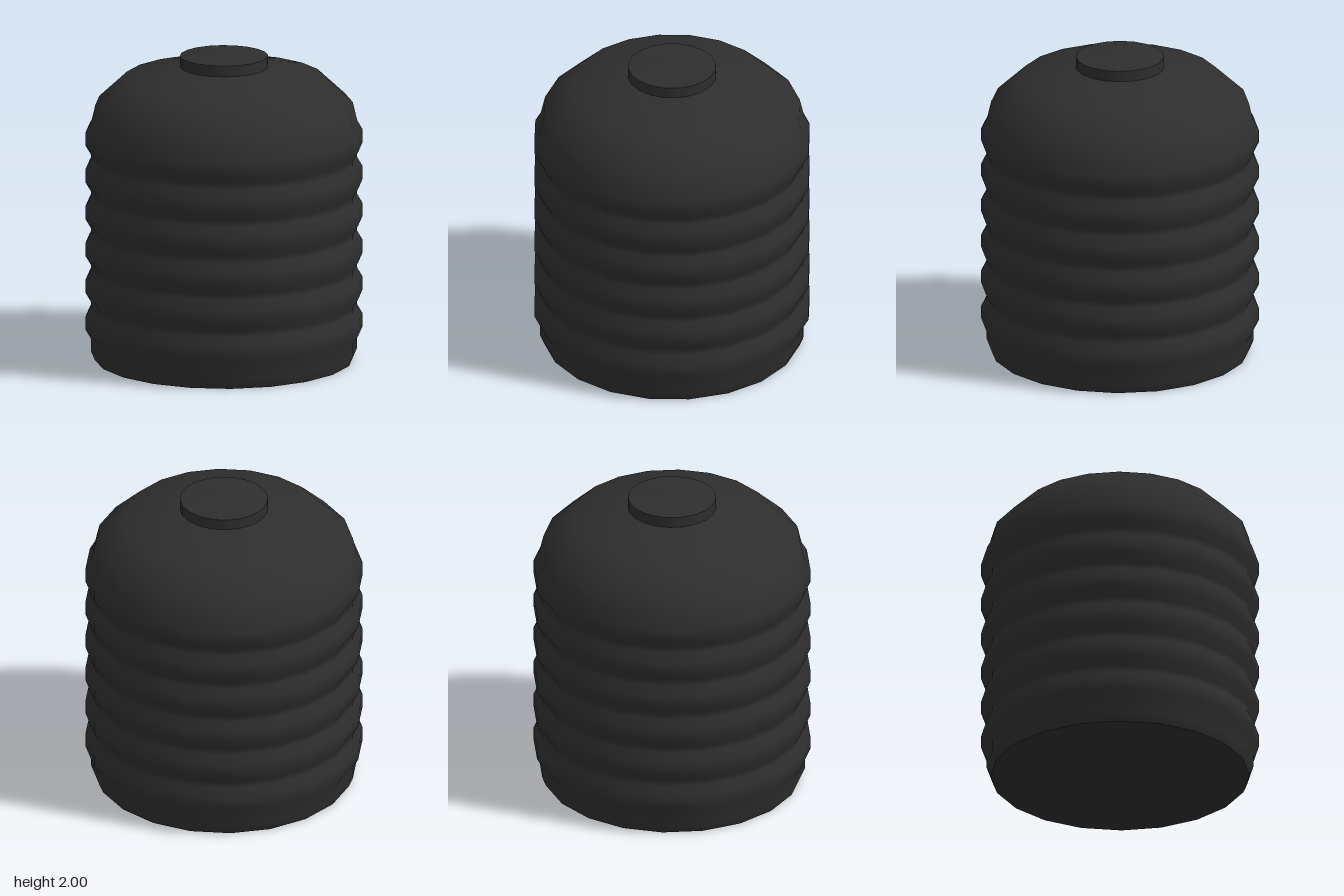
import * as THREE from 'three';

const SIDES = 20;

export function createModel() {
  const group = new THREE.Group();
  group.name = 'waterTank';

  const blackPlastic = new THREE.MeshStandardMaterial({ color: 0x2e2e2e });
  blackPlastic.name = 'blackPlastic';

  const add = (name, geometry) => {
    const mesh = new THREE.Mesh(geometry, blackPlastic);
    mesh.name = name;
    group.add(mesh);
    return mesh;
  };
  const lathe = (points) =>
    new THREE.LatheGeometry(points.map(([r, y]) => new THREE.Vector2(r, y)), SIDES);

  // Ribbed body: foot, six evenly spaced ribs, then the shoulder
  const valley = 0.845, crest = 0.88;
  const profile = [[0.82, 0], [valley, 0.06]];
  for (let i = 0; i < 6; i++) {
    const y = 0.24 * (i + 1);
    profile.push([valley, y - 0.1], [crest, y - 0.04], [crest, y + 0.04], [valley, y + 0.1]);
  }
  profile.push([0.817, 1.66], [0.635, 1.83], [0.28, 1.903], [0, 1.93]);
  add('body', lathe(profile));

  // Flat underside
  add('base', new THREE.CircleGeometry(0.82, SIDES).rotateX(Math.PI / 2));

  // Lid: upright rim and a shallow conical top with a sharp edge between
  add('lidRim', lathe([[0.28, 1.9], [0.28, 1.973]]));
  add('lidTop', lathe([[0.28, 1.973], [0, 2]]));

  return group;
}
